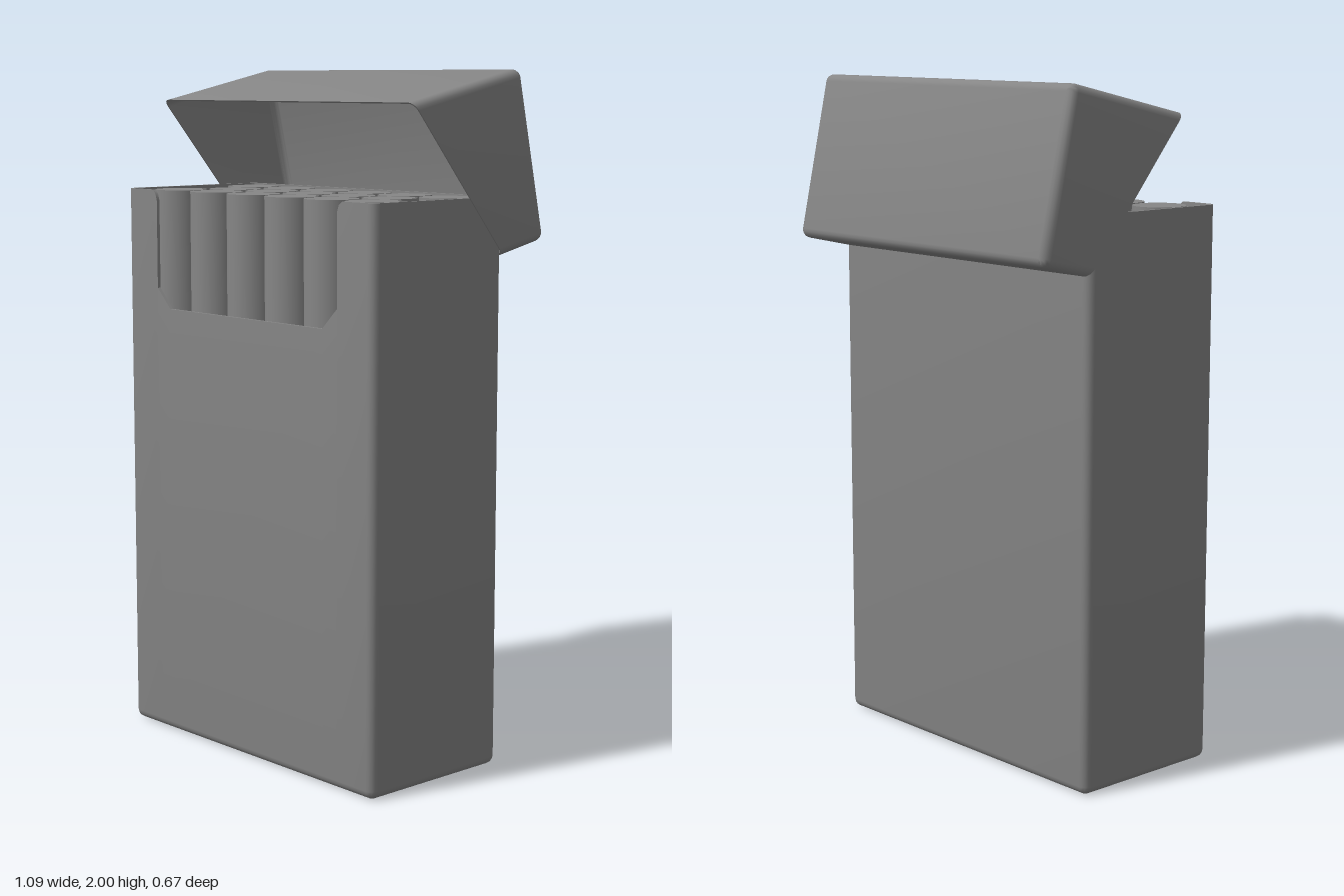
import * as THREE from 'three';
import { toCreasedNormals } from 'three/addons/utils/BufferGeometryUtils.js';

const material = new THREE.MeshStandardMaterial({ color: 0x868686 });
const STEPS = 4;

// Rounded-rectangle loop; y is a number or a rule of z. Extra [x, y] points sit on the front edge,
// and lift or lower the rim when useCut is set.
function ring(hw, hd, r, y, cut = [], useCut = false) {
  const pts = [];
  const height = (z) => (typeof y === 'function' ? y(z) : y);
  for (let q = 0; q < 4; q++) {
    const sx = q === 0 || q === 3 ? 1 : -1;
    const sz = q < 2 ? 1 : -1;
    for (let i = 0; i <= STEPS; i++) {
      const a = (q + i / STEPS) * Math.PI / 2;
      const z = sz * (hd - r) + r * Math.sin(a);
      pts.push([sx * (hw - r) + r * Math.cos(a), height(z), z]);
    }
    if (q === 0) {
      for (const [x, cy] of cut) pts.push([hw ? x : 0, useCut ? cy : height(hd), hd]);
    }
  }
  return pts;
}

// Loops for a closed end with rounded edges, from its centre at height y out to the full outline
function roundedEnd(hw, hd, r, y, dir, cut) {
  const rings = [ring(0, 0, 0, y, cut)];
  for (let i = 0; i <= STEPS; i++) {
    const a = i / STEPS * Math.PI / 2;
    const inset = r * (1 - Math.sin(a));
    rings.push(ring(hw - inset, hd - inset, r - inset, y + dir * r * (1 - Math.cos(a)), cut));
  }
  return rings;
}

// Skin a series of equal-length loops
function loft(rings) {
  const n = rings[0].length;
  const index = [];
  for (let i = 0; i < rings.length - 1; i++) {
    for (let j = 0; j < n; j++) {
      const k = (j + 1) % n;
      const a = i * n + j, b = a + n, c = i * n + k, d = c + n;
      index.push(a, b, c, c, b, d);
    }
  }
  const geo = new THREE.BufferGeometry();
  geo.setAttribute('position', new THREE.Float32BufferAttribute(rings.flat(2), 3));
  geo.setIndex(index);
  return toCreasedNormals(geo, 0.6);
}

function addMesh(parent, geo, name) {
  const mesh = new THREE.Mesh(geo, material);
  mesh.name = name;
  parent.add(mesh);
  return mesh;
}

// Open-topped carton with a thumb notch in the front wall
function bodyGeometry() {
  const W = 0.538, D = 0.25, R = 0.025, T = 0.01, TOP = 1.646;
  const half = [[0.415, TOP], [0.402, 1.636], [0.395, 1.615], [0.395, 1.355], [0.335, 1.296]];
  const notch = [...half, ...half.slice().reverse().map(([x, y]) => [-x, y])];
  return loft([
    ...roundedEnd(W, D, R, 0, 1, notch),
    ring(W, D, R, TOP, notch, true),
    ring(W - T, D - T, R - T, TOP, notch, true),
    ...roundedEnd(W - T, D - T, R - T, T, 1, notch).reverse()
  ]);
}

// Hollow lid with a slanted open underside, hinge edge at the origin
function lidGeometry() {
  const W = 0.543, D = 0.2475, R = 0.025, T = 0.004, TOP = 0.178, DROP = 0.255;
  const slant = (z) => -DROP * (z + D) / (2 * D);
  return loft([
    ...roundedEnd(W - T, D - T, R - T, TOP - T, -1),
    ring(W - T, D - T, R - T, slant),
    ring(W, D, R, slant),
    ...roundedEnd(W, D, R, TOP, -1).reverse()
  ]).translate(0, 0, D);
}

export function createModel() {
  const model = new THREE.Group();
  model.name = 'openCarton';

  addMesh(model, bodyGeometry(), 'cartonBody').position.z = 0.084;

  const lid = addMesh(model, lidGeometry(), 'hingedLid');
  lid.position.set(0, 1.48, -0.166);
  lid.rotation.x = -1.353;

  // Three staggered rows of sticks
  const sticks = new THREE.Group();
  sticks.name = 'sticks';
  const stickGeo = new THREE.CylinderGeometry(0.078, 0.078, 1.63, 24);
  [6, 5, 6].forEach((count, row) => {
    for (let i = 0; i < count; i++) {
      const stick = addMesh(sticks, stickGeo, 'stick');
      stick.position.set((i - (count - 1) / 2) * 0.168 - 0.005, 0.828, 0.218 - row * 0.142);
    }
  });
  model.add(sticks);
  return model;
}
